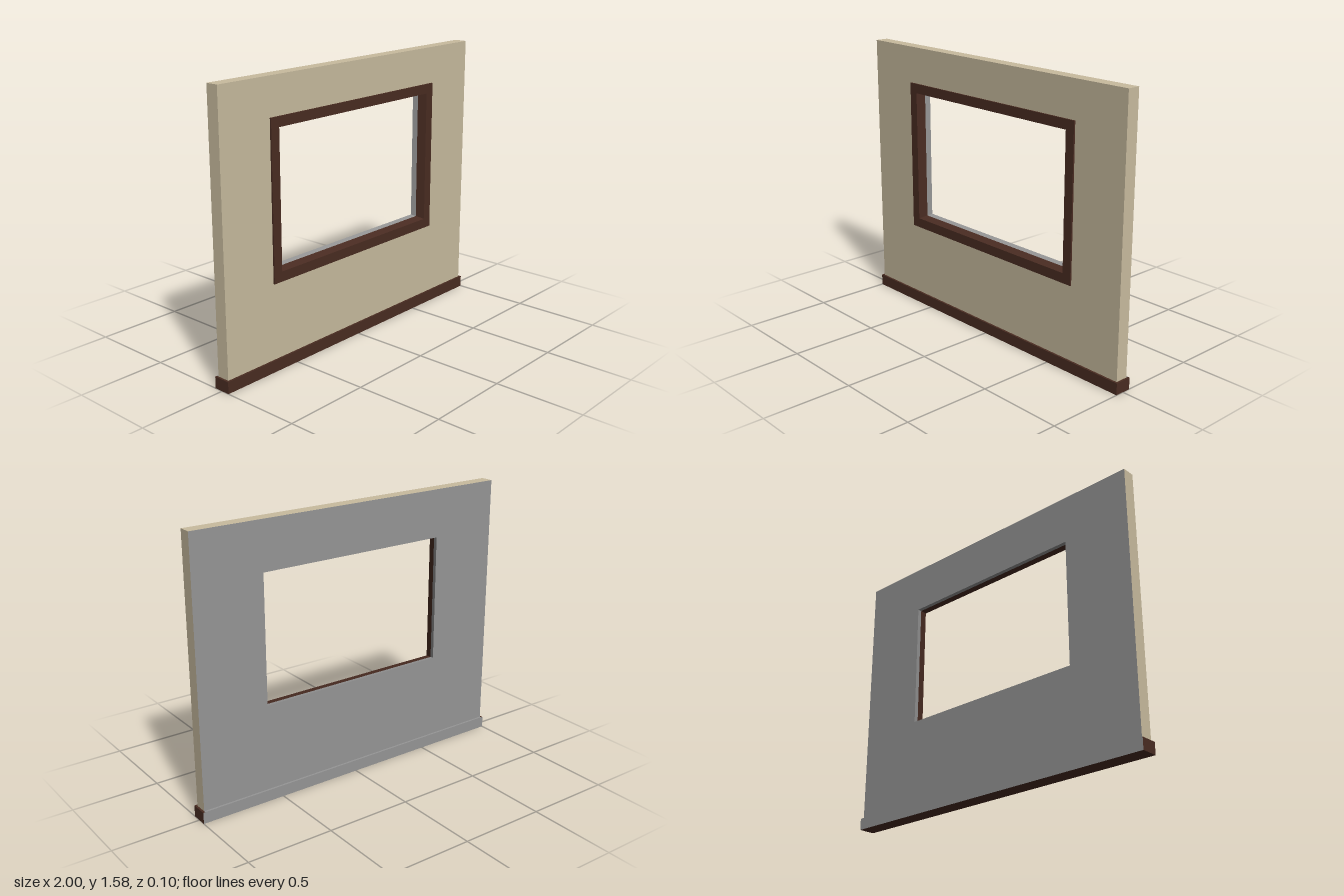
import * as THREE from 'three';

const tan = new THREE.MeshStandardMaterial({ color: 0xc9bc9f });
tan.name = 'tan plaster';
const brown = new THREE.MeshStandardMaterial({ color: 0x4a2c22 });
brown.name = 'dark brown wood';
const gray = new THREE.MeshStandardMaterial({ color: 0x969696 });
gray.name = 'plain gray';

// Rectangular loop: half width, bottom, top, depth position
const loop = (w, y0, y1, z) => [[-w, y0, z], [w, y0, z], [w, y1, z], [-w, y1, z]];

// Four flat sides joining consecutive rectangular loops
function band(name, material, ...loops) {
  const pos = [];
  for (let k = 0; k < loops.length - 1; k++) {
    const a = loops[k], b = loops[k + 1];
    for (let i = 0; i < 4; i++) {
      const j = (i + 1) % 4;
      pos.push(...a[i], ...a[j], ...b[j], ...a[i], ...b[j], ...b[i]);
    }
  }
  const geo = new THREE.BufferGeometry();
  geo.setAttribute('position', new THREE.Float32BufferAttribute(pos, 3));
  geo.computeVertexNormals();
  const mesh = new THREE.Mesh(geo, material);
  mesh.name = name;
  return mesh;
}

export function createModel() {
  const group = new THREE.Group();
  group.name = 'windowWall';

  const wallBack = loop(0.988, 0.03, 1.58, -0.037);
  const wallFront = loop(0.988, 0.03, 1.58, 0.037);
  const trimBase = loop(0.655, 0.493, 1.37, 0.037);
  const trimOuter = loop(0.655, 0.493, 1.37, 0.046);
  const trimInner = loop(0.6, 0.549, 1.315, 0.046);
  const revealMid = loop(0.586, 0.559, 1.307, -0.006);
  const opening = loop(0.578, 0.565, 1.302, -0.037);

  // Wall shell, window trim and the tapered opening
  group.add(
    band('wall', tan, wallBack, wallFront, trimBase),
    band('windowTrim', brown, trimBase, trimOuter, trimInner, revealMid),
    band('rearReveal', gray, revealMid, opening),
    band('wallBack', gray, opening, wallBack),
  );

  // Baseboard with an unpainted back
  const base = new THREE.Mesh(
    new THREE.BoxGeometry(2, 0.066, 0.098),
    [brown, brown, brown, brown, brown, gray],
  );
  base.name = 'baseboard';
  base.position.y = 0.033;

  // Rear ledge of the baseboard
  const ledge = new THREE.Mesh(new THREE.BoxGeometry(1.976, 0.002, 0.012), gray);
  ledge.name = 'rearLedge';
  ledge.position.set(0, 0.066, -0.043);
  group.add(base, ledge);
  return group;
}
